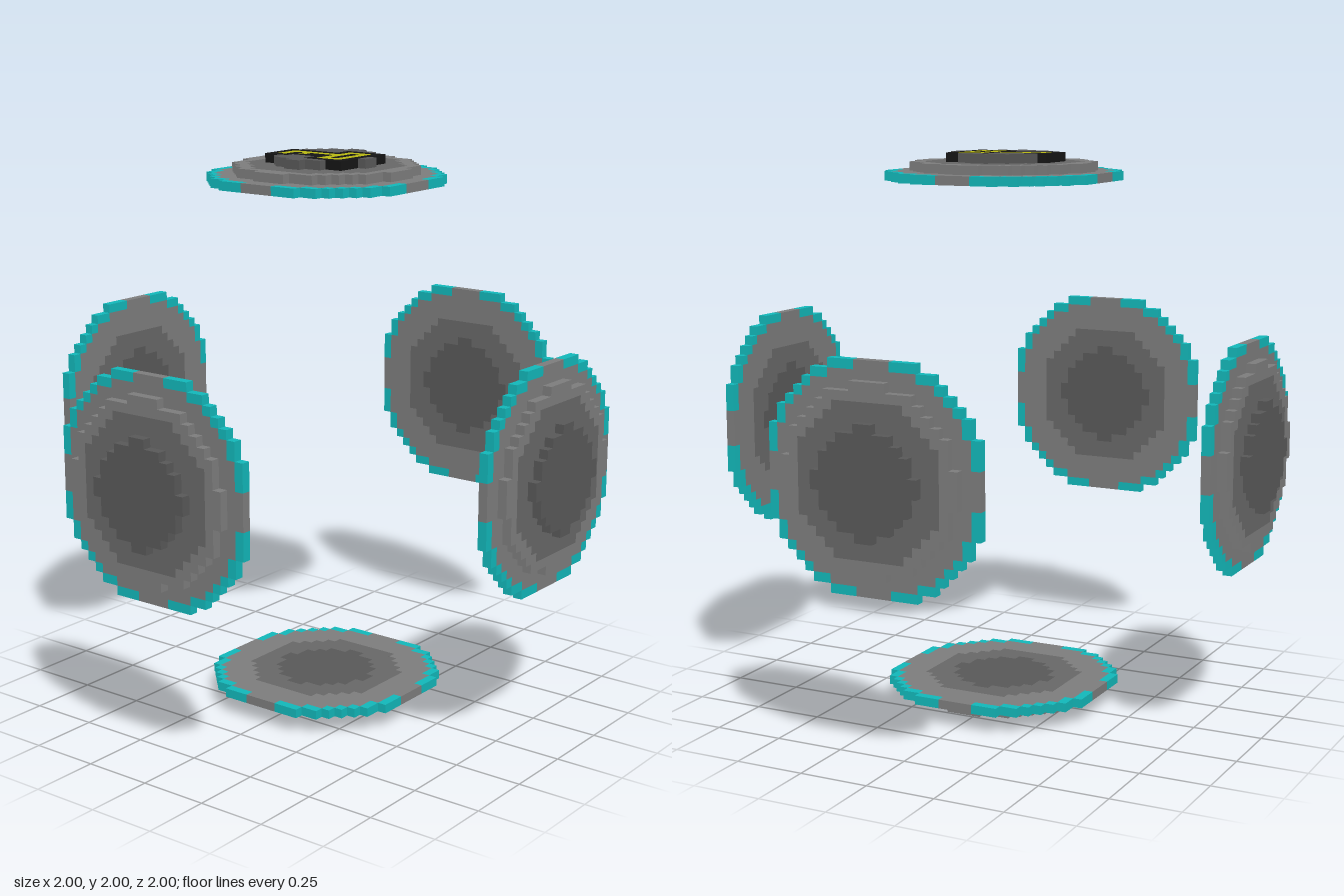
import * as THREE from 'three';
import { mergeGeometries } from 'three/addons/utils/BufferGeometryUtils.js';

const V = 2 / 62; // edge of one block
const HALF = 12;  // disc radius in blocks

const materials = {};
for (const [name, color] of Object.entries({
  tealRim: 0x12b6b8, lightGrey: 0x7c7c7c, midGrey: 0x676767,
  darkGrey: 0x585858, keyBorder: 0x151515, key: 0xb6b612,
})) {
  materials[name] = new THREE.MeshStandardMaterial({ color, flatShading: true });
}

// Squared distance of a block's centre from the disc axis
const dist2 = (i, j) => (i + 0.5) ** 2 + (j + 0.5) ** 2;

// Concentric bands, listed from the middle outwards as [squared radius, part]
const bands = (...list) => (i, j) => list.find(([r2]) => dist2(i, j) < r2)?.[1];

const base = bands([32, 'darkGrey'], [70, 'midGrey'], [136, 'lightGrey'], [156, 'tealRim']);
const step = bands([70, 'midGrey'], [94, 'lightGrey']);
const cap = bands([32, 'darkGrey']);

// Rectangles of blocks, both ends included: [i0, i1, j0, j1]
const inside = (rects, i, j) =>
  rects.some(([a, b, c, d]) => i >= a && i <= b && j >= c && j <= d);
const borderRects = [[0, 4, -4, 3], [-6, -4, -2, 2], [-3, -1, -2, 1]];
const holeRects = [[2, 2, -2, 1]];
const keyRects = [[1, 3, -3, 2], [-5, 0, -1, -1], [-5, -5, 0, 1], [-3, -3, 0, 0]];

// Cap with the key symbol set into it
function keyCap(i, j) {
  if (inside(keyRects, i, j) && !inside(holeRects, i, j)) return 'key';
  if (inside(borderRects, i, j)) return 'keyBorder';
  return cap(i, j);
}

// Stepped disc facing +y: each layer is cut into rows, each row into runs of one part
function makeDisc(name, layers) {
  const parts = {};
  layers.forEach((partAt, k) => {
    for (let j = -HALF; j < HALF; j++) {
      let start = -HALF;
      for (let i = -HALF + 1; i <= HALF; i++) {
        const part = partAt(start, j);
        if (i < HALF && partAt(i, j) === part) continue;
        if (part) {
          const box = new THREE.BoxGeometry((i - start) * V, V, V);
          box.translate((i + start) / 2 * V, (28.5 + k) * V, (j + 0.5) * V);
          (parts[part] ??= []).push(box);
        }
        start = i;
      }
    }
  });
  const disc = new THREE.Group();
  disc.name = name;
  for (const [part, boxes] of Object.entries(parts)) {
    const mesh = new THREE.Mesh(mergeGeometries(boxes), materials[part]);
    mesh.name = part;
    disc.add(mesh);
  }
  return disc;
}

export function createModel() {
  const model = new THREE.Group();
  model.name = 'sixDiscs';

  // One disc on each side of a cube, all facing outwards
  const q = Math.PI / 2;
  const sides = [
    ['topDisc', 0, 0], ['bottomDisc', 2 * q, 0],
    ['frontDisc', q, 0], ['backDisc', -q, 0],
    ['leftDisc', 0, -q], ['rightDisc', 0, q],
  ];
  for (const [name, rx, rz] of sides) {
    const disc = makeDisc(name, [base, step, name === 'topDisc' ? keyCap : cap]);
    disc.rotation.set(rx, 0, rz);
    disc.position.y = 1;
    model.add(disc);
  }
  return model;
}
